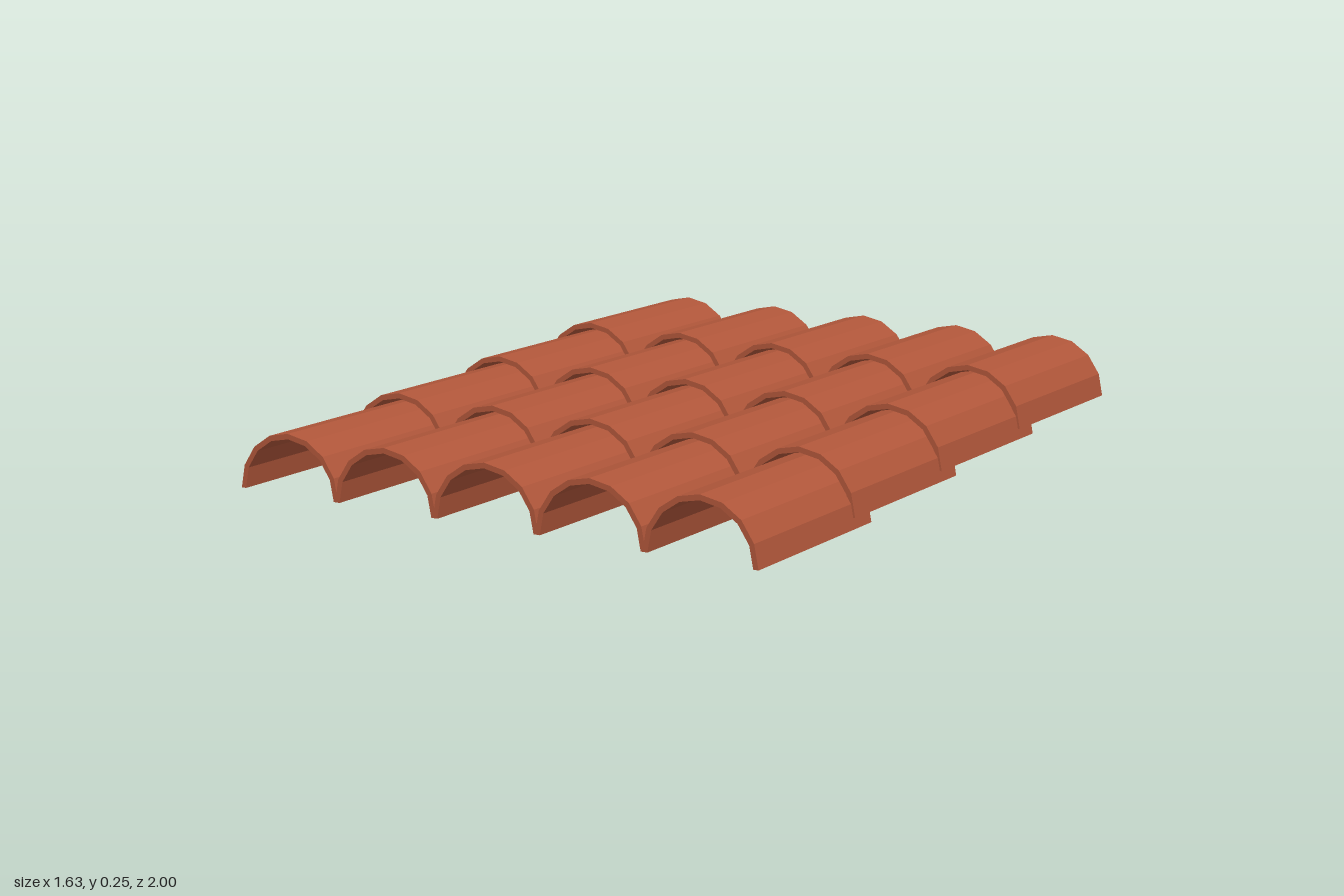
import * as THREE from 'three';

const ROWS = 4, COLUMNS = 5, SEGMENTS = 8;
const OUTER = 0.167, INNER = 0.152, LENGTH = 0.565;
const SPACING = 0.3235, ROW_STEP = 0.4783, ROW_RISE = 0.0287;

// Half-ring cross-section extruded along z into one barrel tile
function tileGeometry() {
  const points = [];
  const arc = (radius, i) => {
    const a = (Math.PI * i) / SEGMENTS;
    return new THREE.Vector2(Math.cos(a) * radius, Math.sin(a) * radius);
  };
  for (let i = 0; i <= SEGMENTS; i++) points.push(arc(OUTER, i));
  for (let i = SEGMENTS; i >= 0; i--) points.push(arc(INNER, i));
  return new THREE.ExtrudeGeometry(new THREE.Shape(points), {
    depth: LENGTH, bevelEnabled: false, steps: 1,
  });
}

export function createModel() {
  const roof = new THREE.Group();
  roof.name = 'roofTiles';
  const terracotta = new THREE.MeshStandardMaterial({ color: 0xb0563a, flatShading: true });
  terracotta.name = 'terracotta';
  const geometry = tileGeometry();

  // Each row further back rises and overlaps the one in front
  for (let r = 0; r < ROWS; r++) {
    const row = new THREE.Group();
    row.name = `tileRow${r + 1}`;
    row.position.set(0, r * ROW_RISE, 1 - LENGTH - r * ROW_STEP);
    for (let c = 0; c < COLUMNS; c++) {
      const tile = new THREE.Mesh(geometry, terracotta);
      tile.name = `barrelTile${c + 1}`;
      tile.position.x = (c - (COLUMNS - 1) / 2) * SPACING;
      row.add(tile);
    }
    roof.add(row);
  }
  return roof;
}
